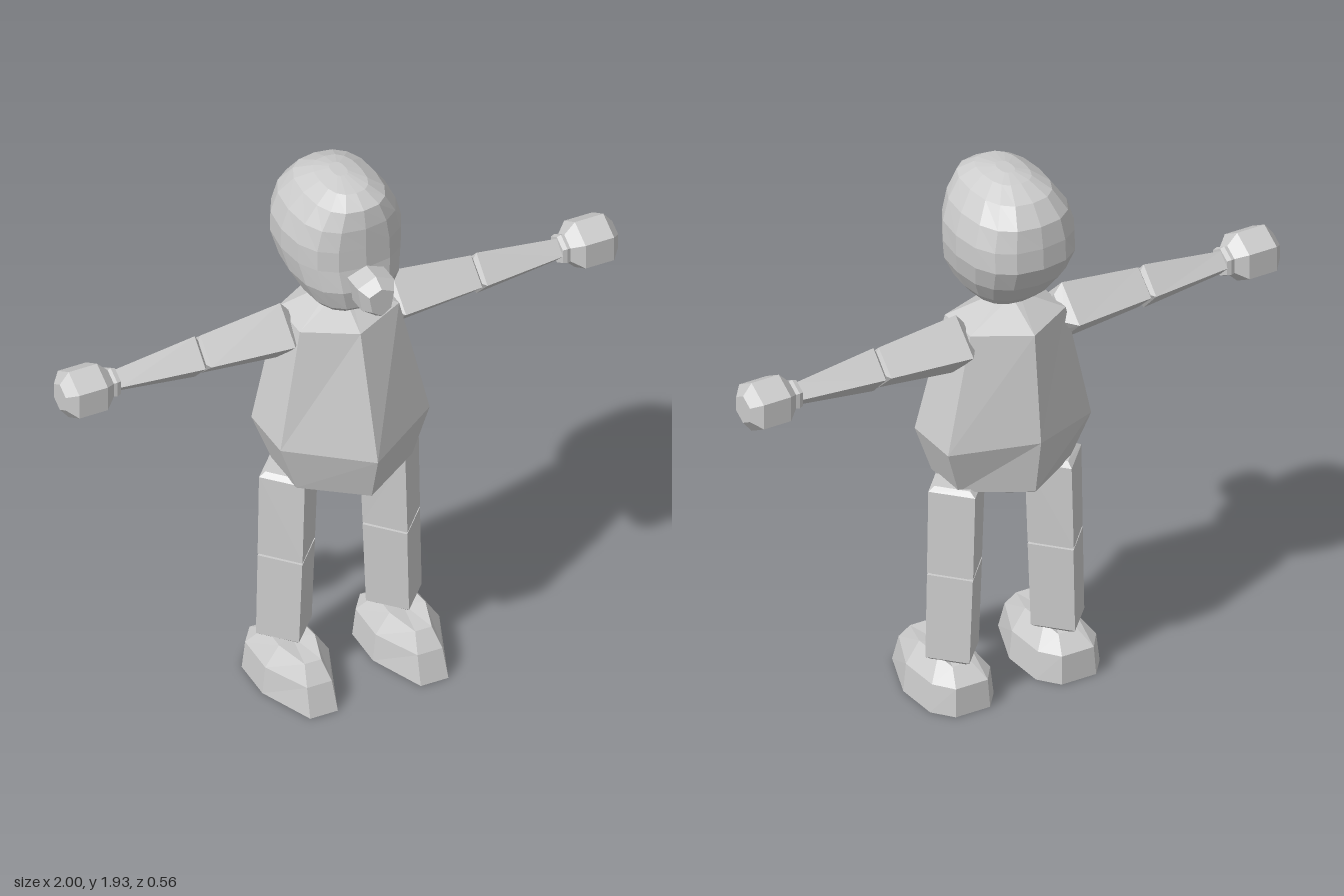
import * as THREE from 'three';

const grey = new THREE.MeshStandardMaterial({ color: 0xcccccc, flatShading: true });
grey.name = 'plain grey';

// Skin a list of equal-sized rings of [x, y, z] and close both ends with fans.
function loft(name, rings) {
  const n = rings[0].length;
  const pts = rings.flat();
  const faces = [];
  for (let r = 0; r < rings.length - 1; r++) {
    for (let i = 0; i < n; i++) {
      const j = (i + 1) % n;
      const a = r * n + i, b = r * n + j, c = a + n, d = b + n;
      faces.push([a, b, d], [a, d, c]);
    }
  }
  [0, rings.length - 1].forEach((r, end) => {
    const mid = [0, 1, 2].map(k => rings[r].reduce((s, p) => s + p[k], 0) / n);
    const m = pts.push(mid) - 1;
    for (let i = 0; i < n; i++) {
      const a = r * n + i, b = r * n + (i + 1) % n;
      faces.push(end ? [a, b, m] : [b, a, m]);
    }
  });
  // Turn the skin outward whichever way the rings run
  const v = pts.map(p => new THREE.Vector3(...p));
  const origin = v[v.length - 1];
  let volume = 0;
  for (const f of faces) {
    const [a, b, c] = f.map(i => v[i].clone().sub(origin));
    volume += a.dot(b.cross(c));
  }
  if (volume < 0) faces.forEach(f => f.reverse());
  const geometry = new THREE.BufferGeometry().setFromPoints(v);
  geometry.setIndex(faces.flat());
  const flat = geometry.toNonIndexed();
  flat.computeVertexNormals();
  const mesh = new THREE.Mesh(flat, grey);
  mesh.name = name;
  return mesh;
}

// Regular ring with radii around a centre; sides start at the first axis.
function circle(n, start, place) {
  return Array.from({ length: n }, (_, i) => {
    const a = start + (i / n) * Math.PI * 2;
    return place(Math.cos(a), Math.sin(a));
  });
}

// Limb segment along x
const armPart = (name, s, n, sections) => loft(name, sections.map(([x, y, z, ry, rz]) =>
  circle(n, 0, (c, d) => [s * x, y + c * ry, z + d * rz])));

// Limb segment along y with a diamond section
const legPart = (name, s, sections) => loft(name, sections.map(([y, x, rx, rz]) =>
  circle(4, 0, (c, d) => [s * (x + c * rx), y, -0.027 + d * rz])));

function torso() {
  // side half width, front z, front side z, back side z, back z, then heights
  const sections = [
    [0.02, 0.03, 0.0, -0.02, -0.04, 0.705, 0.705, 0.705],
    [0.21, 0.21, 0.085, -0.085, -0.22, 0.775, 0.795, 0.8],
    [0.27, 0.255, 0.09, -0.12, -0.255, 0.935, 0.965, 1.0],
    [0.18, 0.13, 0.05, -0.11, -0.215, 1.37, 1.385, 1.385],
    [0.035, -0.01, -0.025, -0.055, -0.07, 1.46, 1.46, 1.46],
  ];
  return loft('torso', sections.map(([w, f, fs, bs, b, yf, ys, yb]) =>
    [[0, yf, f], [w, ys, fs], [w, ys, bs], [0, yb, b], [-w, ys, bs], [-w, ys, fs]]));
}

function head() {
  // height, half width, front z, back z; heights tilt down towards the back of the jaw
  const sections = [
    [1.452, 0.07, 0.07, -0.09],
    [1.475, 0.11, 0.13, -0.135],
    [1.51, 0.14, 0.17, -0.175],
    [1.585, 0.18, 0.185, -0.235],
    [1.665, 0.198, 0.172, -0.272],
    [1.74, 0.198, 0.17, -0.268],
    [1.815, 0.175, 0.168, -0.255],
    [1.88, 0.13, 0.155, -0.205],
    [1.915, 0.075, 0.1, -0.13],
    [1.928, 0.025, 0.01, -0.07],
  ];
  const round = t => Math.sign(t) * Math.pow(Math.abs(t), 0.8);
  return loft('head', sections.map(([y, w, f, b]) => circle(16, 0, (c, d) =>
    [round(c) * w, y, (f + b) / 2 + round(d) * (f - b) / 2])));
}

function nose() {
  const outline = [[0, 0.075], [0.066, 0.045], [0.05, -0.045], [0, -0.08], [-0.05, -0.045], [-0.066, 0.045]];
  return loft('nose', [[0.1, 1], [0.24, 1], [0.283, 0.68]].map(([z, k]) =>
    outline.map(([x, y]) => [x * k, 1.597 + y * k, z])));
}

function foot(s) {
  // sole, instep and top outlines about the ankle line
  const half = [[0.05, 0.265], [0.125, 0.07], [0.12, -0.09], [0.065, -0.16]];
  const instep = [[0.045, 0.232], [0.115, 0.07], [0.11, -0.085], [0.06, -0.153]];
  const top = [[0.03, 0.185], [0.065, 0.07], [0.06, -0.04], [0.035, -0.09]];
  const ring = (side, y) => [...side, ...side.map(([x, z]) => [-x, z]).reverse()]
    .map(([x, z], i) => [s * 0.2 + x, Array.isArray(y) ? y[Math.min(i, 7 - i)] : y, z]);
  return loft('foot', [ring(half, 0), ring(instep, 0.1), ring(top, [0.16, 0.172, 0.17, 0.145])]);
}

export function createModel() {
  const model = new THREE.Group();
  model.name = 'figure';
  model.add(torso(), head(), nose());

  for (const s of [1, -1]) {
    const arm = new THREE.Group();
    arm.name = s > 0 ? 'leftArm' : 'rightArm';
    arm.add(
      armPart('upperArm', s, 4, [[0.17, 1.335, -0.052, 0.07, 0.07], [0.2, 1.335, -0.052, 0.107, 0.112], [0.49, 1.333, -0.05, 0.075, 0.082], [0.505, 1.333, -0.05, 0.04, 0.045]]),
      armPart('forearm', s, 4, [[0.49, 1.331, -0.05, 0.045, 0.045], [0.51, 1.331, -0.05, 0.081, 0.08], [0.8, 1.33, -0.05, 0.043, 0.045]]),
      armPart('wrist', s, 6, [[0.8, 1.33, -0.048, 0.05, 0.05], [0.815, 1.33, -0.048, 0.055, 0.055], [0.835, 1.33, -0.048, 0.05, 0.05]]),
      armPart('hand', s, 6, [[0.825, 1.33, -0.047, 0.05, 0.05], [0.865, 1.33, -0.047, 0.09, 0.09], [0.968, 1.33, -0.047, 0.09, 0.09], [1.0, 1.33, -0.047, 0.05, 0.05]]),
    );

    const leg = new THREE.Group();
    leg.name = s > 0 ? 'leftLeg' : 'rightLeg';
    leg.add(
      legPart('thigh', s, [[0.805, 0.185, 0.08, 0.09], [0.79, 0.182, 0.107, 0.117], [0.487, 0.19, 0.104, 0.117]]),
      legPart('knee', s, [[0.49, 0.19, 0.09, 0.1], [0.47, 0.19, 0.09, 0.1]]),
      legPart('shin', s, [[0.479, 0.19, 0.104, 0.115], [0.17, 0.199, 0.101, 0.11], [0.155, 0.199, 0.075, 0.085]]),
      foot(s),
    );
    model.add(arm, leg);
  }
  return model;
}
